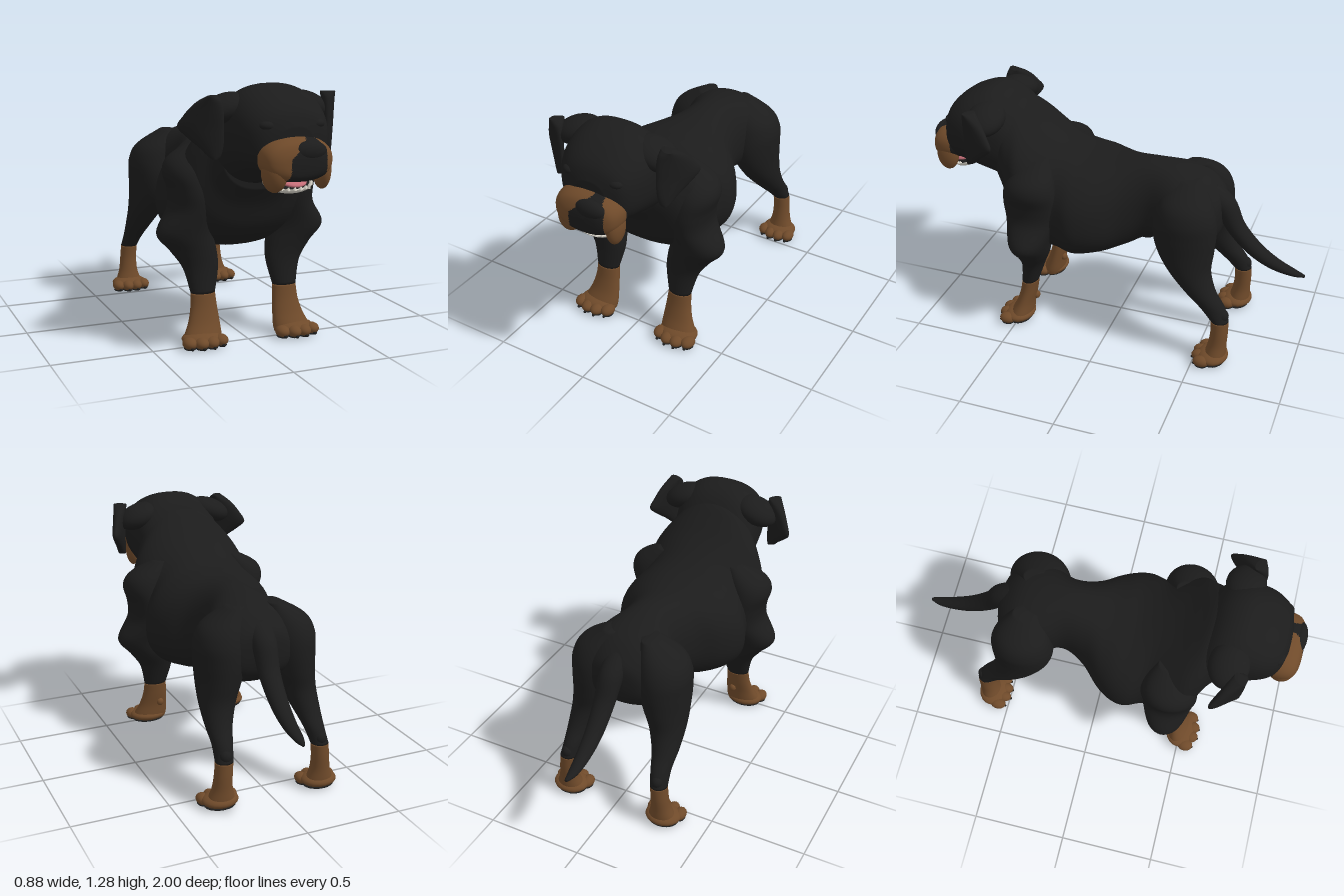
import * as THREE from 'three';

const material = (name, color, side = THREE.FrontSide) => {
  const m = new THREE.MeshStandardMaterial({ color, side });
  m.name = name;
  return m;
};

// Catmull-Rom blend of the numeric rows in a list
function blendRows(rows, steps) {
  const out = [];
  for (let i = 0; i < rows.length - 1; i++) {
    const [a, b, c, d] = [-1, 0, 1, 2].map((k) => rows[Math.min(Math.max(i + k, 0), rows.length - 1)]);
    for (let s = 0; s < steps; s++) {
      const t = s / steps;
      out.push(b.map((v, j) => v + 0.5 * t * (c[j] - a[j] +
        t * (2 * a[j] - 5 * v + 4 * c[j] - d[j] + t * (3 * (v - c[j]) + d[j] - a[j])))));
    }
  }
  out.push(rows[rows.length - 1]);
  return out;
}

// Closed skin over rings [x, y, z, half width, half height, tilt].
// power squares the ring, taper narrows its upper half, paint picks a material per face.
function loft(rows, { steps = 6, sides = 40, power = 1, taper = 0, paint = () => 0 } = {}) {
  const rings = blendRows(rows, steps);
  const pos = [];
  const bend = (v) => Math.sign(v) * Math.abs(v) ** power;
  for (const [x, y, z, rx, rv, tilt] of rings) {
    for (let j = 0; j < sides; j++) {
      const a = (j / sides) * Math.PI * 2;
      const u = rx * bend(Math.cos(a)) * (1 - taper * Math.sin(a));
      const v = rv * bend(Math.sin(a));
      pos.push(x + u, y + v * Math.cos(tilt), z + v * Math.sin(tilt));
    }
  }
  const last = rings.length - 1;
  const cap = rings.length * sides;
  pos.push(...rings[0].slice(0, 3), ...rings[last].slice(0, 3));
  const tris = [];
  for (let j = 0; j < sides; j++) {
    const k = (j + 1) % sides;
    for (let i = 0; i < last; i++) {
      const a = i * sides + j, b = i * sides + k;
      tris.push([a, b, b + sides], [a, b + sides, a + sides]);
    }
    tris.push([cap, k, j], [cap + 1, last * sides + j, last * sides + k]);
  }
  // Turn the faces outward and sort them by material
  const point = (i) => new THREE.Vector3().fromArray(pos, i * 3);
  const origin = point(cap);
  let volume = 0;
  const lists = [[], []];
  for (const t of tris) {
    const [p, q, r] = t.map(point);
    lists[paint(p.clone().add(q).add(r).divideScalar(3))].push(t);
    volume += p.sub(origin).dot(q.sub(origin).cross(r.sub(origin)));
  }
  const geo = new THREE.BufferGeometry();
  geo.setAttribute('position', new THREE.Float32BufferAttribute(pos, 3));
  const order = (t) => (volume < 0 ? [t[0], t[2], t[1]] : t);
  geo.setIndex(lists.flat().flatMap(order));
  geo.addGroup(0, lists[0].length * 3, 0);
  geo.addGroup(lists[0].length * 3, lists[1].length * 3, 1);
  geo.computeVertexNormals();
  return geo;
}

// Upright cross-sections [z, centre x, top, bottom, half width]
const upright = (rows) => rows.map(([z, x, t, b, w]) => [x, (t + b) / 2, z, w, (t - b) / 2, 0]);
// Level cross-sections [x, y, z, half width, half depth] on side s
const level = (rows, s) => rows.map(([x, y, z, rx, rz]) => [s * x, y, z, rx, rz, Math.PI / 2]);

export function createModel() {
  const dog = new THREE.Group();
  dog.name = 'dog';
  const black = material('black coat', 0x1c1c1c);
  const tan = material('tan markings', 0x6f4a2a);
  const white = material('ivory', 0xd9d5ca, THREE.DoubleSide);
  const pink = material('pink tongue', 0xc8707a);

  const add = (name, geo, mat, parent = dog) => {
    const mesh = new THREE.Mesh(geo, mat);
    mesh.name = name;
    parent.add(mesh);
    return mesh;
  };
  const ball = (name, mat, p, r, parent = dog) => {
    const mesh = add(name, new THREE.SphereGeometry(1, 20, 14), mat, parent);
    mesh.position.set(...p);
    mesh.scale.set(...r);
    return mesh;
  };

  // Torso and neck
  add('torso', loft(upright([
    [-0.565, 0.02, 0.82, 0.70, 0.05], [-0.54, 0.02, 0.87, 0.63, 0.15], [-0.46, 0.02, 0.94, 0.57, 0.22],
    [-0.35, 0.02, 0.975, 0.57, 0.23], [-0.2, 0.02, 0.99, 0.57, 0.172], [-0.08, 0.015, 0.98, 0.505, 0.21],
    [0.02, 0.005, 0.97, 0.465, 0.295], [0.1, 0, 0.975, 0.445, 0.34], [0.18, 0, 0.985, 0.43, 0.352],
    [0.28, 0, 1.025, 0.435, 0.32], [0.38, 0, 1.085, 0.46, 0.345], [0.46, 0, 1.15, 0.51, 0.335],
    [0.52, 0, 1.2, 0.58, 0.29], [0.565, 0.01, 1.22, 0.69, 0.245], [0.62, 0.01, 1.23, 0.78, 0.2],
  ]), { power: 0.88, taper: 0.12, sides: 56 }), black);
  ball('sheath', black, [0.02, 0.555, -0.14], [0.032, 0.042, 0.07]);

  // Skull
  add('head', loft(upright([
    [0.46, 0, 1.1, 0.78, 0.2], [0.56, 0.01, 1.235, 0.79, 0.23], [0.66, 0.02, 1.28, 0.82, 0.235],
    [0.76, 0.03, 1.26, 0.855, 0.228], [0.84, 0.035, 1.215, 0.875, 0.2], [0.89, 0.04, 1.165, 0.9, 0.155],
    [0.915, 0.04, 1.1, 0.94, 0.08],
  ]), { power: 0.82, sides: 48 }), black);
  for (const s of [-1, 1]) ball('eyelid', black, [0.037 + s * 0.12, 1.11, 0.868], [0.042, 0.025, 0.034]);

  // Muzzle with a tan patch on each cheek and a black bridge
  const cheek = ({ x, y, z }) => {
    const right = -0.02 + Math.max(0, y - 0.97) * 1.1 - Math.max(0, 0.9 - y) * 0.5;
    const left = 0.16 - Math.max(0, y - 1.0) * 0.6;
    return z > 0.87 && (x < right || x > left) ? 1 : 0;
  };
  add('muzzle', loft(upright([
    [0.78, 0.03, 1.05, 0.88, 0.14], [0.86, 0.038, 1.062, 0.866, 0.168], [0.92, 0.04, 1.06, 0.862, 0.17],
    [0.965, 0.04, 1.04, 0.868, 0.15], [0.988, 0.04, 1.0, 0.89, 0.1], [0.994, 0.04, 0.96, 0.93, 0.03],
  ]), { power: 0.85, sides: 112, steps: 12, paint: cheek }), [black, tan]);
  ball('rightFlew', tan, [-0.066, 0.91, 0.912], [0.06, 0.095, 0.066]);
  ball('leftFlew', tan, [0.172, 0.905, 0.905], [0.038, 0.088, 0.06]);
  ball('nose', black, [0.08, 1.0, 0.96], [0.085, 0.047, 0.039]);

  // Open mouth, the jaw dropped at the front
  const mouth = new THREE.Group();
  mouth.name = 'mouth';
  mouth.position.set(0.035, 0.85, 0.838);
  mouth.rotation.x = 0.32;
  dog.add(mouth);
  const jaw = add('lowerJaw',
    new THREE.SphereGeometry(1, 28, 10, 0, Math.PI * 2, Math.PI / 2, Math.PI / 2), white, mouth);
  jaw.scale.set(0.122, 0.043, 0.088);
  ball('mouthLining', black, [0, -0.004, -0.005], [0.112, 0.006, 0.078], mouth);
  ball('tongue', pink, [0.018, 0.008, 0.018], [0.064, 0.017, 0.056], mouth);
  for (let i = 0; i < 11; i++) {
    const a = Math.PI * (0.06 + 0.088 * i);
    const tooth = add('tooth', new THREE.ConeGeometry(0.01, i === 2 || i === 8 ? 0.036 : 0.016, 8), white, mouth);
    tooth.position.set(0.113 * Math.cos(a), 0.004, 0.081 * Math.sin(a));
  }

  // Drooping ears: a broad root and a thin flap swept outward and back
  const flap = [[1.235, 0.03, 0.07], [1.215, 0.01, 0.11], [1.185, 0, 0.15], [1.14, -0.005, 0.19],
    [1.09, -0.005, 0.22], [1.045, -0.005, 0.175], [1, 0, 0.115], [0.965, 0.01, 0.075], [0.95, 0.02, 0.05]];
  for (const s of [-1, 1]) {
    const rows = flap.map(([y, a, b], i) => [(a + b) / 2, y, 0, (b - a) / 2, 0.036 - i * 0.002]);
    const side = s > 0 ? 'left' : 'right';
    const ear = add(side + 'Ear', loft(level(rows, s), { sides: 28 }), black);
    ear.position.set(s > 0 ? 0.285 : -0.24, 0, s > 0 ? 0.735 : 0.74);
    ear.rotation.y = s > 0 ? 1.05 : -0.72;
    const root = ball(side + 'EarRoot', black, [s * 0.21 + 0.01, 1.17, 0.645], [0.12, 0.065, 0.1]);
    root.rotation.z = -s * 0.35;
  }

  // Tail
  add('tail', loft([
    [0.02, 0.86, -0.48, 0.07, 0.05, -0.6], [0.025, 0.79, -0.565, 0.062, 0.058, -0.95],
    [0.03, 0.67, -0.635, 0.054, 0.046, -0.95], [0.03, 0.565, -0.735, 0.046, 0.04, -0.75],
    [0.03, 0.5, -0.84, 0.037, 0.031, -0.45], [0.03, 0.467, -0.94, 0.025, 0.018, -0.15],
    [0.035, 0.46, -0.998, 0.008, 0.007, 0],
  ], { sides: 24 }), black);

  // Paw with toes, claws and dark pads
  const paw = (name, x, z, w, s) => {
    ball(name, tan, [s * x, 0.038, z], [w * 0.9, 0.036, 0.08]);
    ball(name + 'Pad', black, [s * x, 0.009, z], [w * 0.78, 0.009, 0.065]);
    for (let i = 0; i < 4; i++) {
      const u = (i - 1.5) / 1.5;
      const tx = s * (x + u * w * 0.7), tz = z + 0.065 - 0.022 * u * u;
      ball(name + 'Toe', tan, [tx, 0.032, tz], [w * 0.31, 0.028, 0.044]);
      ball(name + 'ToePad', black, [tx, 0.008, tz], [w * 0.25, 0.008, 0.034]);
      ball(name + 'Claw', black, [tx, 0.013, tz + 0.036], [0.008, 0.008, 0.012]);
    }
  };

  for (const s of [-1, 1]) {
    // Front leg with a heavy shoulder and elbow
    add('frontLeg', loft(level([
      [0.2, 0.99, 0.37, 0.04, 0.05], [0.265, 0.92, 0.38, 0.1, 0.105], [0.288, 0.85, 0.39, 0.112, 0.135],
      [0.275, 0.76, 0.395, 0.102, 0.145], [0.272, 0.67, 0.395, 0.105, 0.135], [0.3, 0.55, 0.4, 0.14, 0.105],
      [0.255, 0.46, 0.4, 0.118, 0.084], [0.222, 0.37, 0.415, 0.09, 0.06], [0.22, 0.25, 0.44, 0.062, 0.043],
    ], s)), black);
    add('frontLowerLeg', loft(level([
      [0.22, 0.25, 0.44, 0.062, 0.043], [0.22, 0.18, 0.452, 0.068, 0.043], [0.226, 0.11, 0.47, 0.08, 0.047],
      [0.238, 0.05, 0.488, 0.095, 0.06], [0.243, 0.02, 0.495, 0.095, 0.062],
    ], s)), tan);
    ball('dewclaw', tan, [s * 0.2, 0.13, 0.42], [0.02, 0.022, 0.018]);
    paw('frontPaw', 0.247, 0.5, 0.115, s);

    // Hind leg with thigh and hock
    add('hindLeg', loft(level([
      [0.1, 0.95, -0.39, 0.04, 0.06], [0.16, 0.87, -0.395, 0.11, 0.125], [0.182, 0.79, -0.4, 0.13, 0.155],
      [0.188, 0.7, -0.4, 0.127, 0.163], [0.2, 0.6, -0.41, 0.112, 0.148], [0.22, 0.5, -0.44, 0.092, 0.113],
      [0.24, 0.4, -0.505, 0.068, 0.083], [0.25, 0.32, -0.575, 0.05, 0.068], [0.26, 0.25, -0.622, 0.045, 0.046],
    ], s)), black);
    ball('hock', black, [s * 0.258, 0.28, -0.634], [0.032, 0.035, 0.033]);
    add('hindLowerLeg', loft(level([
      [0.26, 0.25, -0.622, 0.045, 0.046], [0.265, 0.18, -0.624, 0.046, 0.045], [0.268, 0.11, -0.618, 0.052, 0.048],
      [0.27, 0.05, -0.61, 0.07, 0.056], [0.27, 0.02, -0.605, 0.075, 0.055],
    ], s)), tan);
    paw('hindPaw', 0.272, -0.598, 0.105, s);
  }
  return dog;
}
